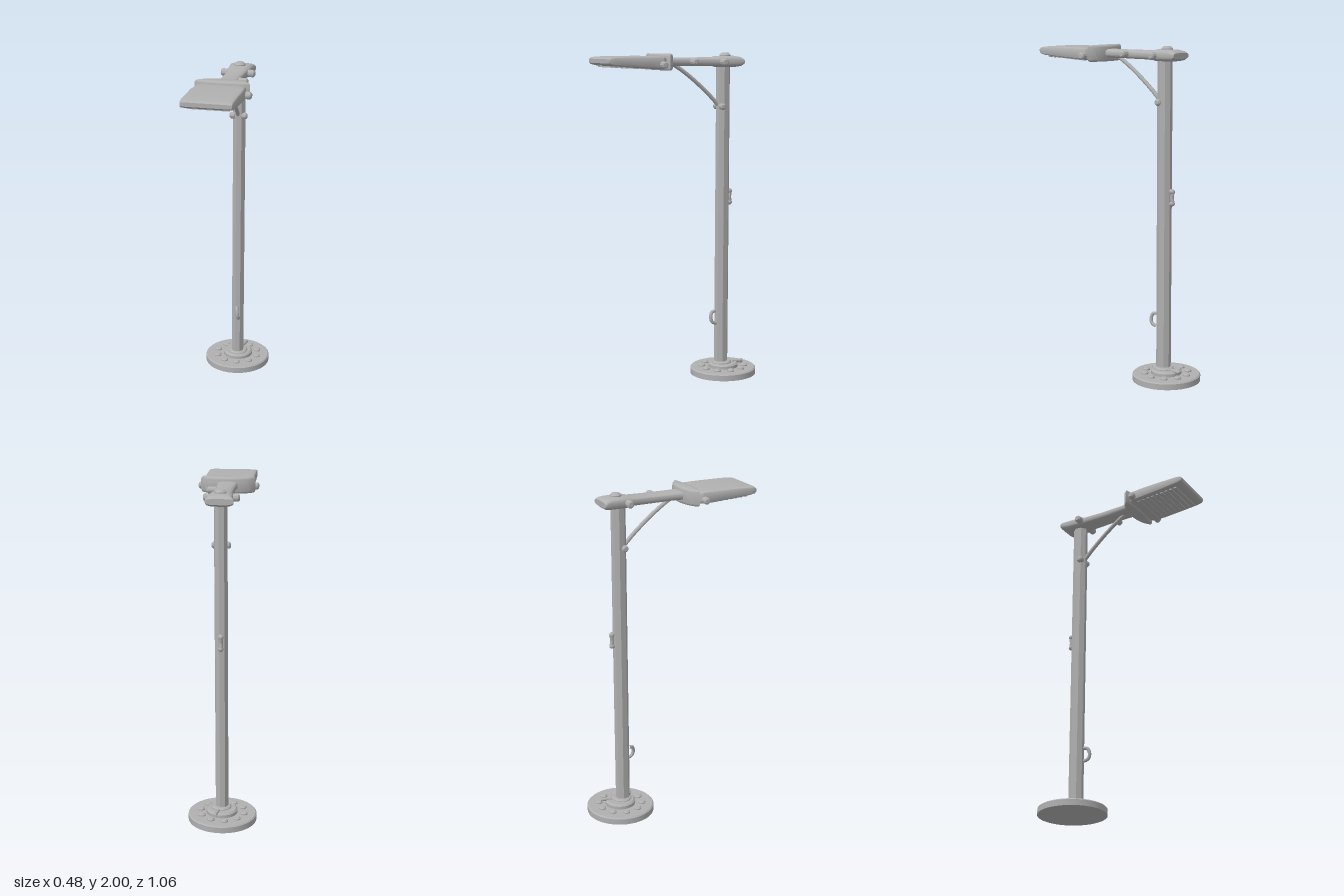
import * as THREE from 'three';
import { toCreasedNormals } from 'three/addons/utils/BufferGeometryUtils.js';

const metal = new THREE.MeshStandardMaterial({ color: 0xb0b0b0 });
metal.name = 'grey metal';

function add(parent, name, geometry, x = 0, y = 0, z = 0) {
  const mesh = new THREE.Mesh(geometry, metal);
  mesh.name = name;
  mesh.position.set(x, y, z);
  parent.add(mesh);
  return mesh;
}

// Turned part with a small rounded edge at the top
function puck(radius, height, edge, sides = 32) {
  const pts = [[0, 0], [radius, 0], [radius, height - edge], [radius - edge, height], [0, height]];
  return toCreasedNormals(new THREE.LatheGeometry(pts.map(p => new THREE.Vector2(...p)), sides), 0.6);
}

// Short domed bolt lying along x
function sideBolt(parent, name, x, y, z, radius = 0.02, length = 0.04) {
  const bolt = add(parent, name, puck(radius, length, 0.008, 10), x, y, z);
  bolt.rotation.z = x < 0 ? Math.PI / 2 : -Math.PI / 2;
  return bolt;
}

// Skin through rounded-rectangle sections [z, centre y, half width, half height]
function loft(sections, power, n = 32) {
  const pos = [], idx = [];
  const bend = v => Math.sign(v) * Math.abs(v) ** power;
  for (const [z, y, w, h] of sections) {
    for (let i = 0; i < n; i++) {
      const a = (i / n) * Math.PI * 2;
      pos.push(w * bend(Math.cos(a)), y + h * bend(Math.sin(a)), z);
    }
  }
  const last = sections.length - 1;
  for (let s = 0; s < last; s++) {
    for (let i = 0; i < n; i++) {
      const a = s * n + i, b = s * n + (i + 1) % n;
      idx.push(a, b, b + n, a, b + n, a + n);
    }
  }
  // End caps
  for (let i = 1; i < n - 1; i++) {
    idx.push(0, i + 1, i, last * n, last * n + i, last * n + i + 1);
  }
  const g = new THREE.BufferGeometry();
  g.setAttribute('position', new THREE.Float32BufferAttribute(pos, 3));
  g.setIndex(idx);
  return toCreasedNormals(g, 0.6);
}

function tube(points, radius, segments = 24) {
  const curve = new THREE.CatmullRomCurve3(points.map(p => new THREE.Vector3(...p)));
  return new THREE.TubeGeometry(curve, segments, radius, 8);
}

function createModel() {
  const model = new THREE.Group();
  model.name = 'streetLamp';

  // Round foot with a ring of bolts
  const foot = new THREE.Group();
  foot.name = 'foot';
  foot.position.set(0.037, 0, -0.325);
  model.add(foot);
  add(foot, 'footDisc', puck(0.205, 0.042, 0.007, 48));
  for (let i = 0; i < 10; i++) {
    const a = (i / 10) * Math.PI * 2;
    add(foot, 'footBolt', puck(0.022, 0.02, 0.007, 10), 0.133 * Math.sin(a), 0.036, 0.133 * Math.cos(a));
  }
  add(foot, 'collar', puck(0.093, 0.03, 0.01), 0.003, 0.04, 0);
  add(foot, 'collarRing', puck(0.06, 0.042, 0.008), 0.005, 0.04, 0.015);
  add(foot, 'collarPin', tube([[0.03, 0.072, -0.045], [0.055, 0.072, -0.112]], 0.011, 4));

  // Eight-sided pole, leaning very slightly
  const poleGeo = new THREE.CylinderGeometry(0.04, 0.04, 1.89, 8).rotateY(Math.PI / 8).scale(1, 1, 1.12);
  const pole = add(model, 'pole', toCreasedNormals(poleGeo, 0.4), 0.042, 0.985, -0.306);
  pole.rotation.z = -0.004;

  // Loop on the front and cleat on the back of the pole
  add(model, 'frontLoop', tube([[0.034, 0.405, -0.26], [0.036, 0.4, -0.235], [0.04, 0.37, -0.223],
    [0.044, 0.34, -0.232], [0.046, 0.328, -0.262]], 0.0105));
  add(model, 'backCleat', tube([[0.05, 1.16, -0.34], [0.05, 1.155, -0.36], [0.05, 1.12, -0.358],
    [0.05, 1.085, -0.36], [0.05, 1.08, -0.34]], 0.012));
  for (const y of [1.085, 1.155]) {
    add(model, 'cleatEnd', new THREE.SphereGeometry(0.016, 10, 8), 0.05, y, -0.36);
  }

  // Everything at the top is turned a little about the pole
  const top = new THREE.Group();
  top.name = 'lampArm';
  top.position.set(0.045, 0, -0.31);
  top.rotation.y = -0.17;
  model.add(top);

  add(top, 'arm', loft([
    [-0.105, 1.947, 0.079, 0.017], [-0.092, 1.947, 0.08, 0.028], [-0.06, 1.948, 0.071, 0.034],
    [0.045, 1.948, 0.066, 0.034], [0.07, 1.948, 0.059, 0.027], [0.2, 1.948, 0.054, 0.026],
    [0.34, 1.949, 0.057, 0.025], [0.43, 1.95, 0.064, 0.027]
  ], 0.6));
  add(top, 'topKnob', puck(0.033, 0.034, 0.012, 12), 0, 1.966, -0.01);
  for (const side of [-1, 1]) {
    sideBolt(top, 'armBolt', side * 0.058, 1.946, 0.04, 0.022, 0.045);
    sideBolt(top, 'headBolt', side * 0.138, 1.935, 0.485, 0.021, 0.042);
    sideBolt(top, 'braceBolt', side * 0.02, 1.678, 0.026, 0.02, 0.034);
  }
  sideBolt(top, 'armSidePeg', 0.05, 1.95, 0.244, 0.02, 0.055);

  // Bowed brace under the arm
  add(top, 'brace', tube([[0, 1.675, 0.025], [0, 1.75, 0.1], [0, 1.84, 0.205],
    [0, 1.905, 0.295], [0, 1.935, 0.345]], 0.0125));

  // Crescent collar between arm and head
  const crescent = new THREE.Shape();
  crescent.moveTo(-0.145, -0.44);
  crescent.quadraticCurveTo(-0.1, -0.395, 0, -0.393);
  crescent.quadraticCurveTo(0.1, -0.395, 0.145, -0.44);
  crescent.quadraticCurveTo(0.08, -0.455, 0, -0.455);
  crescent.quadraticCurveTo(-0.08, -0.455, -0.145, -0.44);
  const crescentGeo = new THREE.ExtrudeGeometry(crescent, {
    depth: 0.05, bevelThickness: 0.023, bevelSize: 0.012, bevelSegments: 4, curveSegments: 12
  }).rotateX(-Math.PI / 2);
  add(top, 'headCollar', toCreasedNormals(crescentGeo, 0.7), 0, 1.925, 0);

  // Flat lamp head, thinner towards the tip
  add(top, 'lampHead', loft([
    [0.452, 1.946, 0.125, 0.032], [0.475, 1.947, 0.144, 0.037], [0.55, 1.949, 0.148, 0.036],
    [0.7, 1.954, 0.148, 0.031], [0.79, 1.957, 0.148, 0.026], [0.815, 1.958, 0.147, 0.021],
    [0.824, 1.958, 0.144, 0.012]
  ], 0.22, 48));

  // Ribbed lens underneath the head
  const lens = new THREE.Group();
  lens.name = 'lens';
  lens.position.set(0, 1.918, 0.64);
  lens.rotation.x = -0.05;
  top.add(lens);
  for (let i = 0; i < 9; i++) {
    add(lens, 'lensRib', new THREE.BoxGeometry(0.24, 0.008, 0.018), 0, 0, (i - 4) * 0.032);
  }
  return model;
}

export { createModel };
